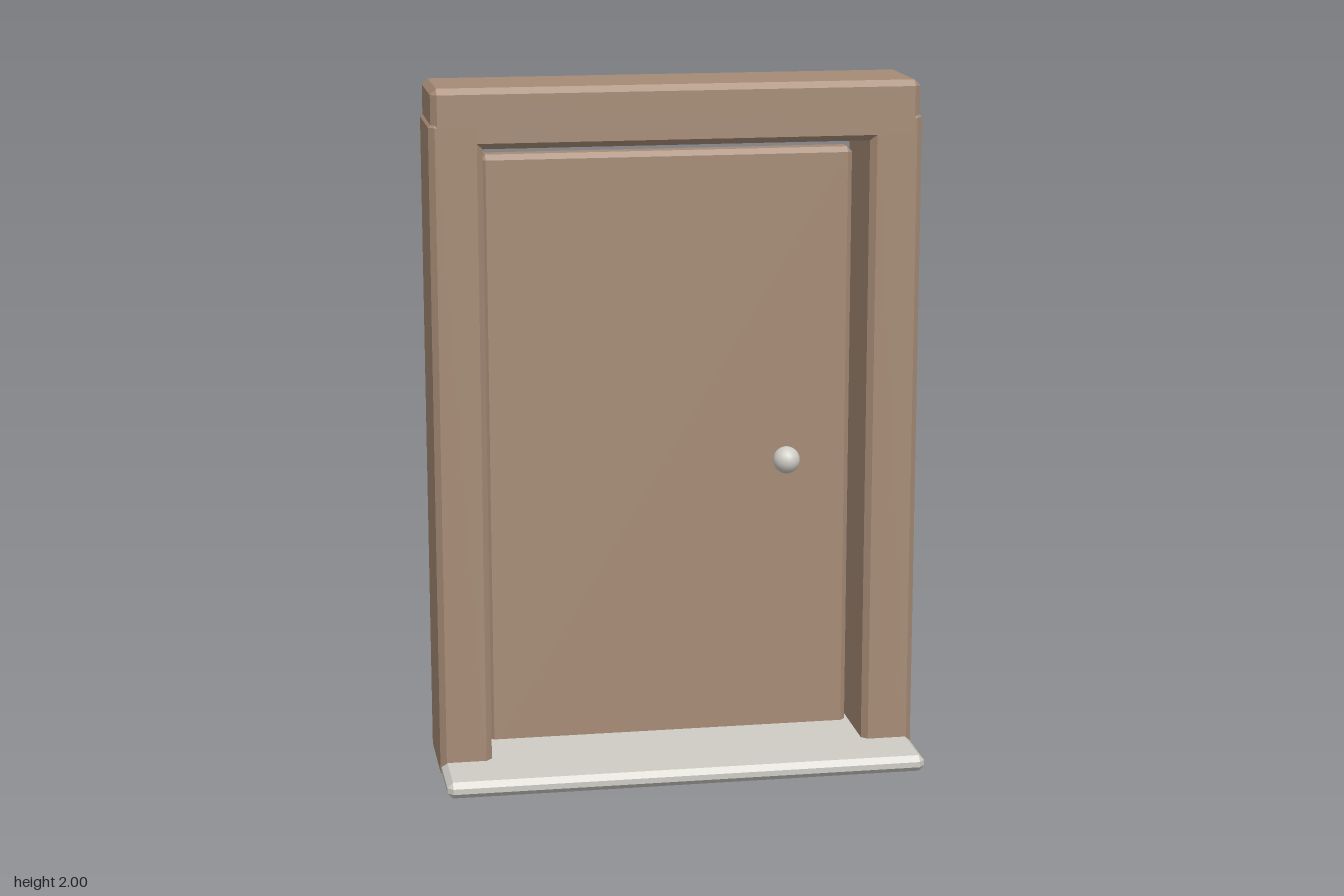
import * as THREE from 'three';
import { ConvexGeometry } from 'three/addons/geometries/ConvexGeometry.js';

// Box between two corners with every edge chamfered
function chamferBox(name, min, max, c, material) {
  const center = min.map((v, i) => (v + max[i]) / 2);
  const half = min.map((v, i) => (max[i] - v) / 2);
  const points = [];
  for (const sx of [-1, 1]) for (const sy of [-1, 1]) for (const sz of [-1, 1]) {
    const signs = [sx, sy, sz];
    for (let axis = 0; axis < 3; axis++) {
      points.push(new THREE.Vector3(...signs.map((s, i) => s * (half[i] - (i === axis ? 0 : c)))));
    }
  }
  const mesh = new THREE.Mesh(new ConvexGeometry(points), material);
  mesh.name = name;
  mesh.position.set(...center);
  return mesh;
}

export function createModel() {
  const wood = new THREE.MeshStandardMaterial({ color: 0xa68b76 });
  wood.name = 'brown wood';
  const stone = new THREE.MeshStandardMaterial({ color: 0xcfccc5 });
  stone.name = 'light grey';

  const group = new THREE.Group();
  group.name = 'doorway';
  const c = 0.017;

  // Frame: two jambs and the lintel across them
  group.add(chamferBox('leftJamb', [0.55, 0, -0.235], [0.7, 1.91, 0.055], c, wood));
  group.add(chamferBox('rightJamb', [-0.7, 0, -0.235], [-0.55, 1.91, 0.055], c, wood));
  group.add(chamferBox('lintel', [-0.693, 1.83, -0.235], [0.693, 2, 0.055], c, wood));

  // Door panel set towards the back of the frame
  group.add(chamferBox('door', [-0.54, 0.01, -0.2], [0.54, 1.79, -0.125], 0.015, wood));

  // Doorstep running out in front
  group.add(chamferBox('doorstep', [-0.697, 0.002, -0.195], [0.697, 0.05, 0.235], 0.016, stone));

  // Round knob
  const knob = new THREE.Mesh(new THREE.SphereGeometry(0.04, 16, 12), stone);
  knob.name = 'knob';
  knob.position.set(0.345, 0.875, -0.095);
  group.add(knob);

  return group;
}
